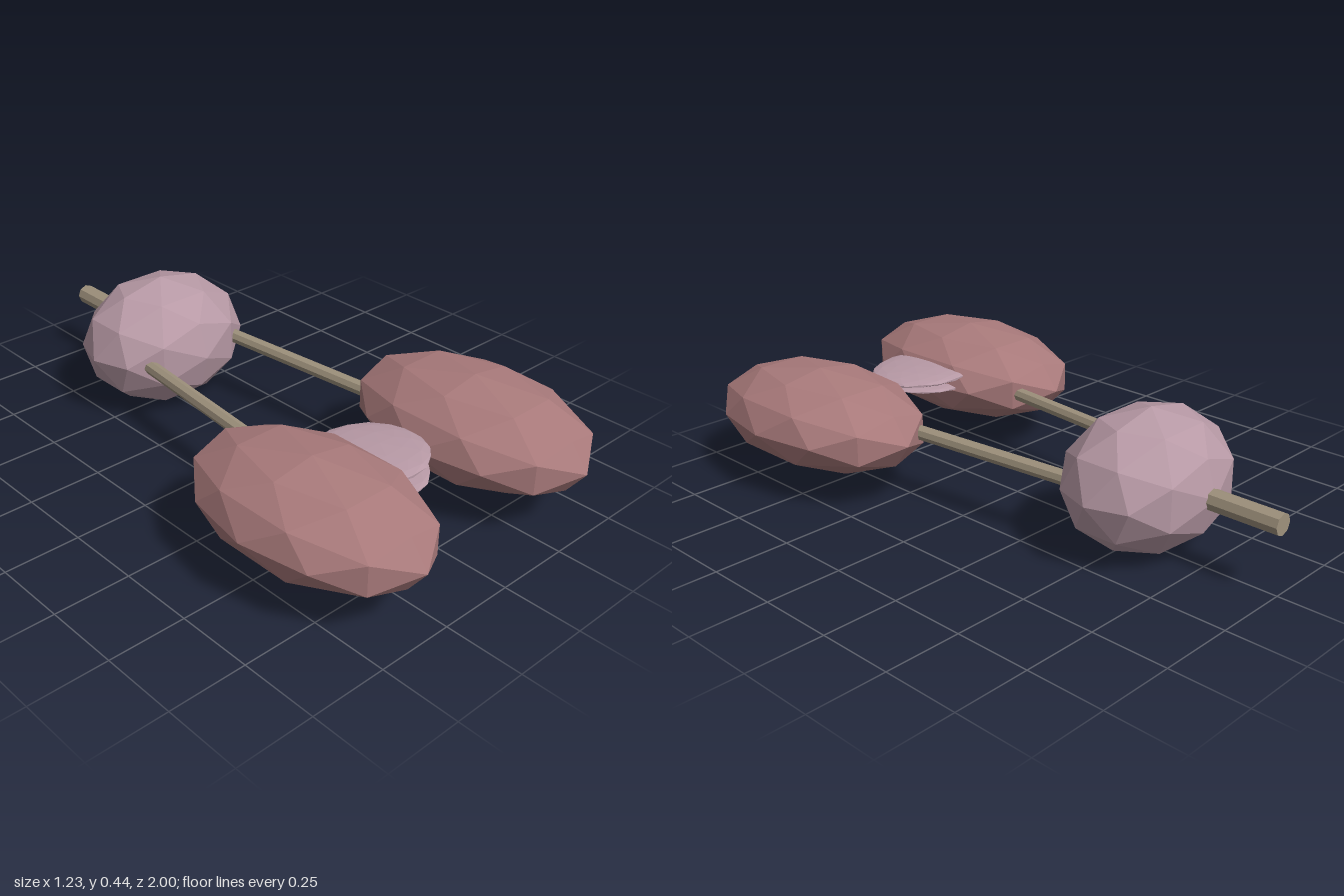
import * as THREE from 'three';

const Y = 0.222; // shared height of the main axis

export function createModel() {
  const model = new THREE.Group();
  const material = (name, color) => {
    const m = new THREE.MeshStandardMaterial({ color, flatShading: true });
    m.name = name;
    return m;
  };
  const rose = material('dusty rose', 0xa97a7b);
  const lilac = material('pale lilac', 0xb799a5);
  const tan = material('greyish tan', 0x9e917c);

  // Faceted ellipsoid
  const blob = (name, mat, detail, pos, radii) => {
    const mesh = new THREE.Mesh(new THREE.IcosahedronGeometry(1, detail), mat);
    mesh.name = name;
    mesh.position.set(...pos);
    mesh.scale.set(...radii);
    model.add(mesh);
    return mesh;
  };

  // Straight rod between two points
  const rod = (name, from, to, radius) => {
    const a = new THREE.Vector3(...from), b = new THREE.Vector3(...to);
    const dir = b.clone().sub(a);
    const mesh = new THREE.Mesh(new THREE.CylinderGeometry(radius, radius, dir.length(), 8), tan);
    mesh.name = name;
    mesh.position.copy(a).add(b).multiplyScalar(0.5);
    mesh.quaternion.setFromUnitVectors(new THREE.Vector3(0, 1, 0), dir.normalize());
    model.add(mesh);
  };

  // Rear body with its stub
  blob('rearBody', lilac, 1, [0, Y, -0.535], [0.295, 0.222, 0.243]);
  rod('rearStub', [0, Y, -0.54], [0, Y, -1], 0.034);

  // Paired lobes, each joined to the rear body by a rod
  for (const [side, s] of [['left', 1], ['right', -1]]) {
    blob(side + 'Lobe', rose, 1, [s * 0.345, Y, 0.57], [0.272, 0.16, 0.428]);
    rod(side + 'Rod', [s * 0.165, Y, -0.52], [s * 0.255, Y, 0.4], 0.024);
  }

  // Two thin stacked petals held in the right lobe
  const upper = blob('upperPetal', lilac, 2, [-0.09, 0.273, 0.55], [0.187, 0.02, 0.17]);
  upper.rotation.z = -0.03;
  const lower = blob('lowerPetal', lilac, 2, [-0.1, 0.231, 0.57], [0.165, 0.015, 0.172]);
  lower.rotation.z = 0.03;

  return model;
}
